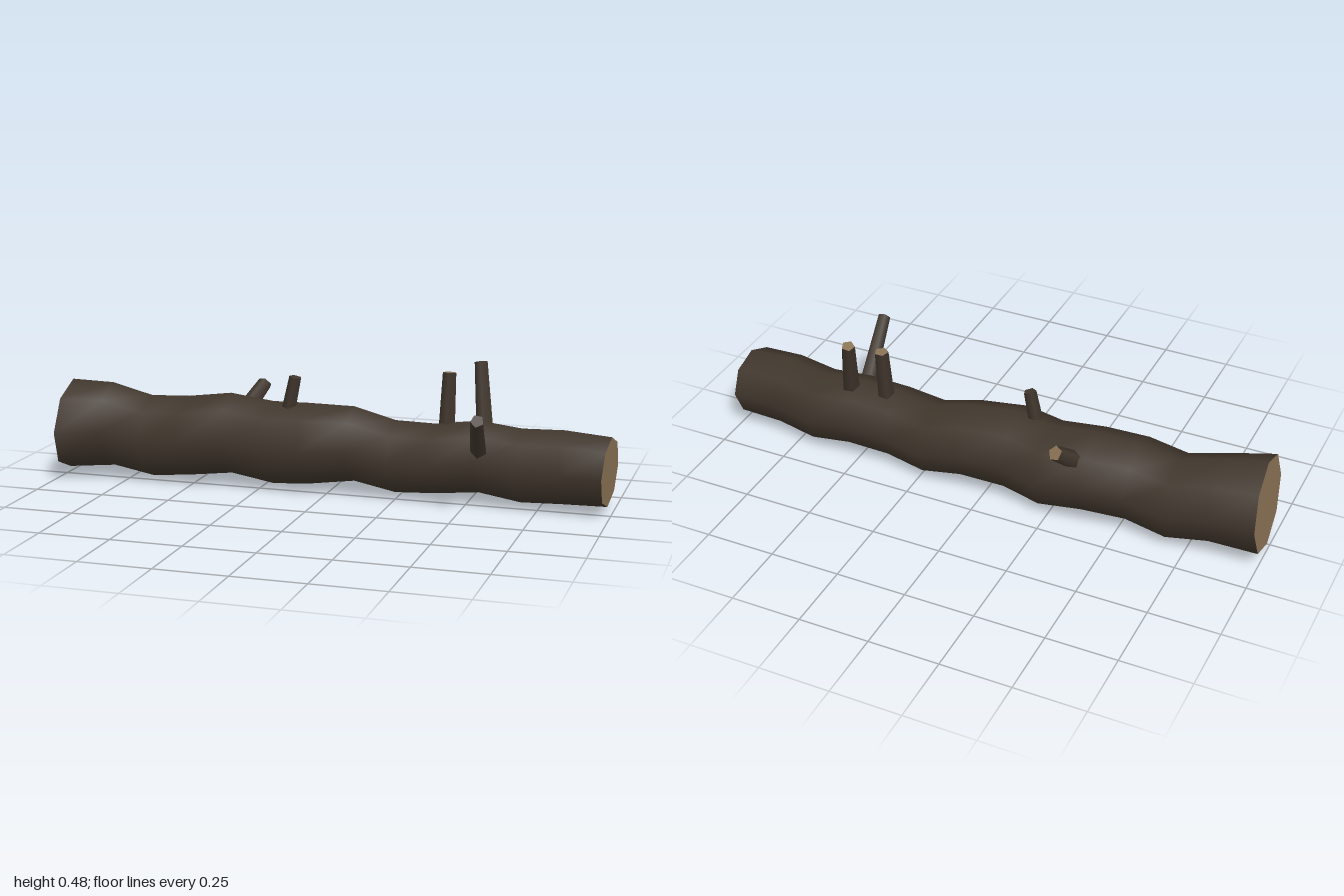
import * as THREE from 'three';

const SIDES = 8;

// Log stations: x, top y, bottom y, back z, front z
const STATIONS = [
  [-0.985, 0.35, 0.02, -0.20, 0.155],
  [-0.83, 0.34, 0.03, -0.205, 0.10],
  [-0.68, 0.30, 0.00, -0.205, 0.085],
  [-0.53, 0.31, 0.018, -0.19, 0.105],
  [-0.38, 0.325, 0.03, -0.22, 0.08],
  [-0.22, 0.305, 0.003, -0.22, 0.08],
  [-0.08, 0.312, 0.018, -0.195, 0.10],
  [0.08, 0.305, 0.035, -0.21, 0.067],
  [0.23, 0.265, 0.005, -0.205, 0.06],
  [0.38, 0.267, 0.018, -0.18, 0.077],
  [0.53, 0.285, 0.03, -0.19, 0.06],
  [0.68, 0.268, 0.007, -0.19, 0.067],
  [0.83, 0.277, 0.018, -0.165, 0.085],
  [0.987, 0.265, 0.022, -0.16, 0.09],
];

// Branch stubs: base, tip, base radius, tip radius, whether the tip is cut wood
const BRANCHES = [
  { name: 'frontBranch', base: [0.55, 0.20, 0.03], tip: [0.59, 0.355, 0.25], r0: 0.03, r1: 0.023, cut: false },
  { name: 'tallBranch', base: [0.55, 0.22, -0.08], tip: [0.515, 0.475, -0.148], r0: 0.032, r1: 0.024, cut: true },
  { name: 'uprightBranch', base: [0.415, 0.22, -0.068], tip: [0.418, 0.443, -0.088], r0: 0.031, r1: 0.025, cut: true },
  { name: 'shortBranch', base: [-0.155, 0.27, -0.043], tip: [-0.127, 0.403, -0.042], r0: 0.027, r1: 0.023, cut: false },
  { name: 'backBranch', base: [-0.35, 0.25, -0.15], tip: [-0.31, 0.332, -0.245], r0: 0.034, r1: 0.027, cut: true },
];

// Octagonal ring; the two end rings lean a little
function ring(index) {
  const [x, top, bottom, back, front] = STATIONS[index];
  const points = [];
  for (let i = 0; i < SIDES; i++) {
    const a = (i / SIDES) * Math.PI * 2;
    const c = Math.cos(a), s = Math.sin(a);
    let lean = 0;
    if (index === 0) lean = 0.011 * (c + s);
    if (index === STATIONS.length - 1) lean = 0.004 * c - 0.01 * s;
    points.push([
      x + lean,
      (top + bottom) / 2 + (c * (top - bottom)) / 2,
      (front + back) / 2 + (s * (front - back)) / 2,
    ]);
  }
  return points;
}

function surface(points, index) {
  const geometry = new THREE.BufferGeometry();
  geometry.setAttribute('position', new THREE.Float32BufferAttribute(points.flat(), 3));
  geometry.setIndex(index);
  geometry.computeVertexNormals();
  return geometry;
}

function trunkGeometry() {
  const points = STATIONS.flatMap((_, k) => ring(k));
  const index = [];
  for (let k = 0; k < STATIONS.length - 1; k++) {
    for (let i = 0; i < SIDES; i++) {
      const j = (i + 1) % SIDES;
      const a = k * SIDES + i, b = k * SIDES + j;
      index.push(a, b, a + SIDES, b, b + SIDES, a + SIDES);
    }
  }
  return surface(points, index);
}

function capGeometry(k, facingRight) {
  const index = [];
  for (let i = 1; i < SIDES - 1; i++) {
    index.push(0, ...(facingRight ? [i, i + 1] : [i + 1, i]));
  }
  return surface(ring(k), index);
}

export function createModel() {
  const bark = new THREE.MeshStandardMaterial({ color: 0x40362c });
  bark.name = 'bark';
  const wood = new THREE.MeshStandardMaterial({ color: 0x8b7355 });
  wood.name = 'cutWood';

  const log = new THREE.Group();
  log.name = 'log';
  const add = (name, geometry, material) => {
    const mesh = new THREE.Mesh(geometry, material);
    mesh.name = name;
    log.add(mesh);
    return mesh;
  };

  // Trunk and its two sawn ends
  add('trunk', trunkGeometry(), bark);
  add('rightSawnEnd', capGeometry(0, false), wood);
  add('leftSawnEnd', capGeometry(STATIONS.length - 1, true), wood);

  // Tapered branch stubs
  for (const { name, base, tip, r0, r1, cut } of BRANCHES) {
    const from = new THREE.Vector3(...base), to = new THREE.Vector3(...tip);
    const direction = to.clone().sub(from);
    const geometry = new THREE.CylinderGeometry(r1, r0, direction.length(), 5);
    const branch = add(name, geometry, [bark, cut ? wood : bark, bark]);
    branch.position.copy(from).add(to).multiplyScalar(0.5);
    branch.quaternion.setFromUnitVectors(new THREE.Vector3(0, 1, 0), direction.normalize());
  }
  return log;
}
